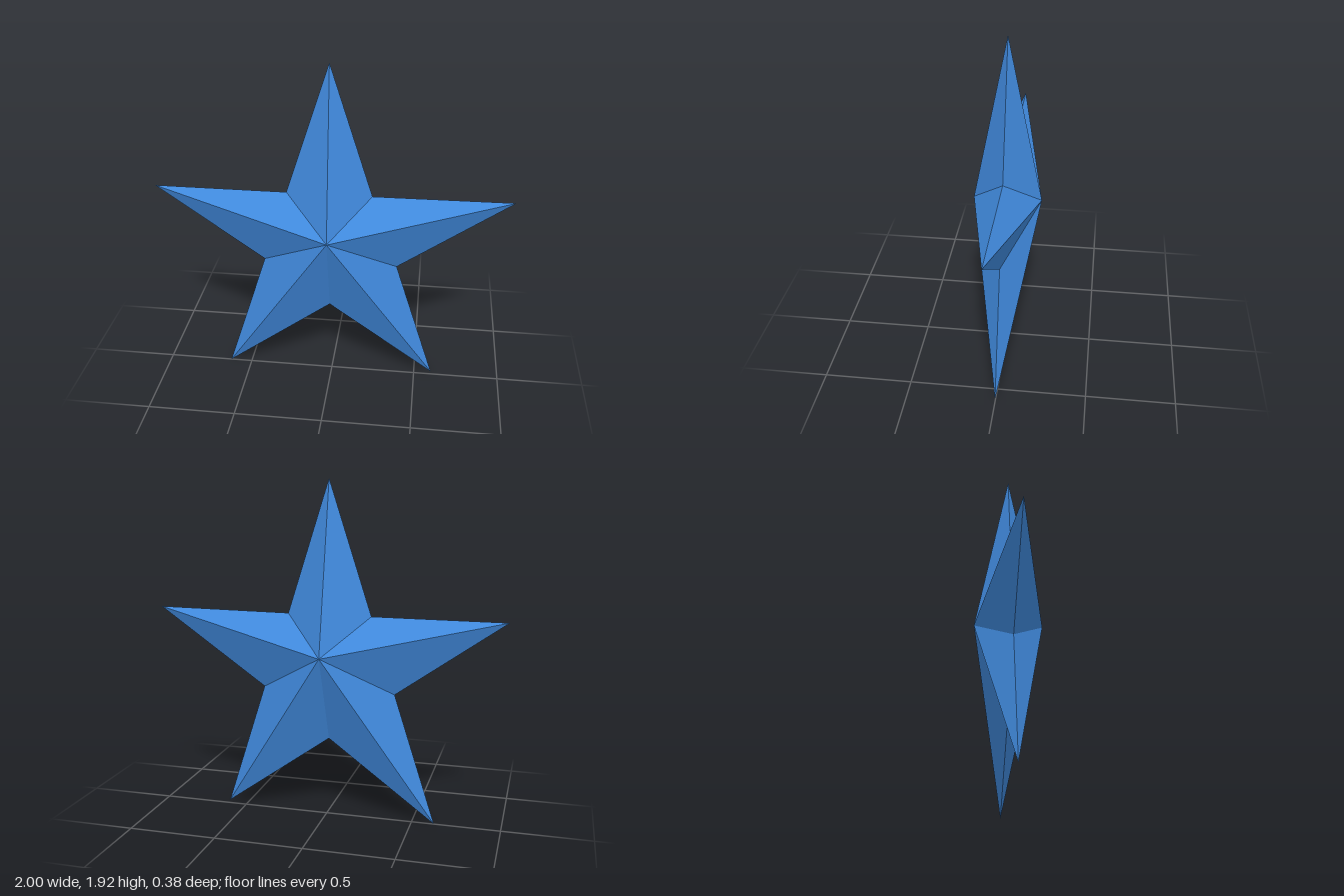
import * as THREE from 'three';

// Outline clockwise from the top tip, alternating tip and notch
const OUTLINE = [
  [-0.013, 1.92], [0.224, 1.174], [1, 1.18], [0.371, 0.74], [0.602, 0.018],
  [-0.013, 0.457], [-0.628, 0], [-0.39, 0.74], [-1, 1.174], [-0.254, 1.174],
];
const CENTRE = [-0.007, 0.962];
const DEPTH = 0.192;

// Fan of facets from a raised centre to the flat outline; side is 1 (front) or -1 (back)
function starHalf(side) {
  const positions = [];
  OUTLINE.forEach((point, i) => {
    const next = OUTLINE[(i + 1) % OUTLINE.length];
    const [a, b] = side > 0 ? [next, point] : [point, next];
    positions.push(...CENTRE, side * DEPTH, ...a, 0, ...b, 0);
  });
  const geometry = new THREE.BufferGeometry();
  geometry.setAttribute('position', new THREE.Float32BufferAttribute(positions, 3));
  geometry.computeVertexNormals();
  return geometry;
}

export function createModel() {
  const star = new THREE.Group();
  star.name = 'star';
  const material = new THREE.MeshStandardMaterial({ color: 0x4089dc, flatShading: true });
  for (const [name, side] of [['frontHalf', 1], ['backHalf', -1]]) {
    const half = new THREE.Mesh(starHalf(side), material);
    half.name = name;
    star.add(half);
  }
  return star;
}
